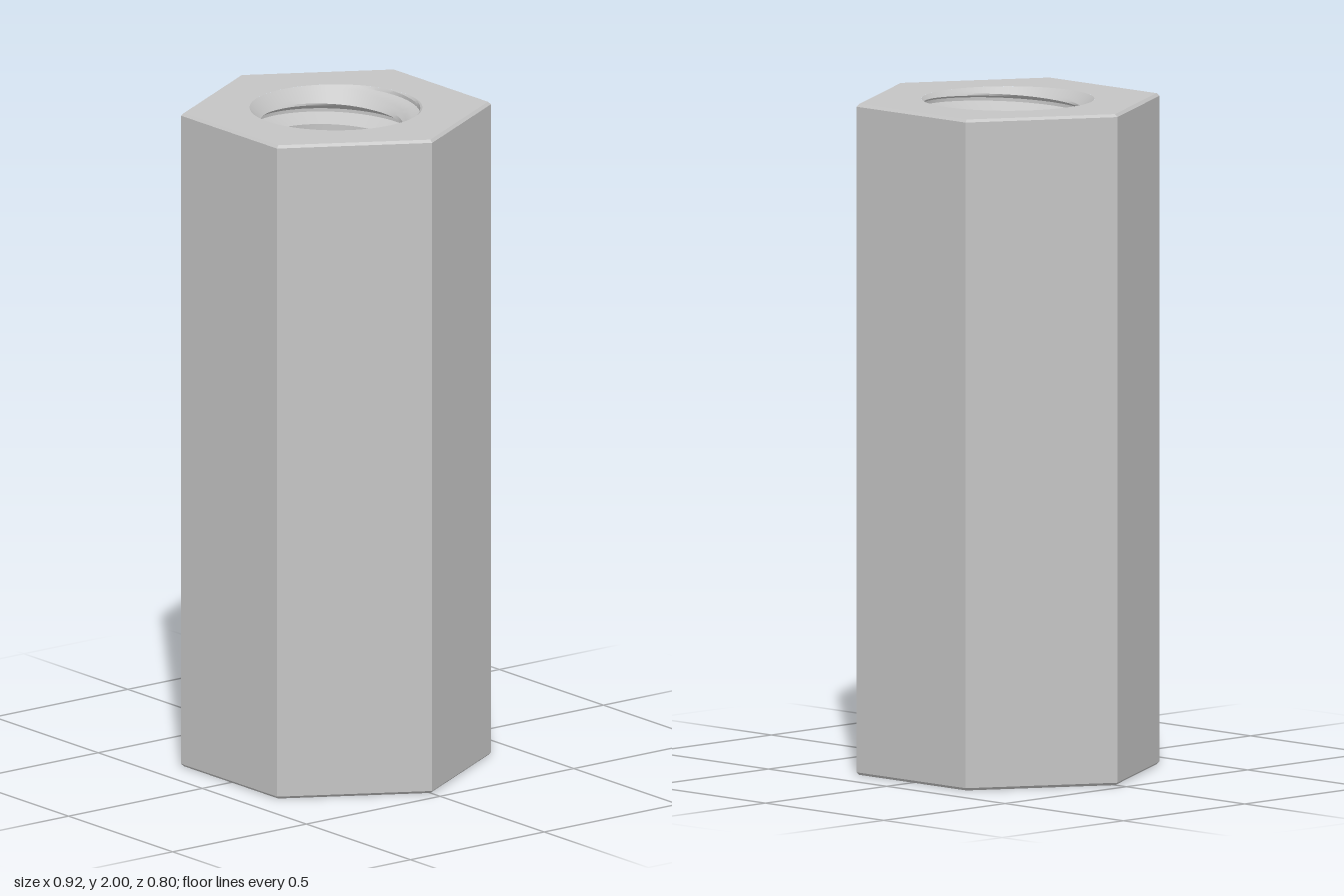
import * as THREE from 'three';
import { toCreasedNormals } from 'three/addons/utils/BufferGeometryUtils.js';

const HEIGHT = 2;
const APOTHEM = 0.4;
const CHAMFER = 0.008;
const MOUTH = 0.255; // countersink radius at each end
const MINOR = 0.2, MAJOR = 0.25, PITCH = 0.08; // internal thread
const GROOVE_START = 0.0506;
const SEGMENTS = 72;

// One pitch of the thread, centred on a groove: [height, radius]
const PROFILE = [
  [-0.03, MINOR], [-0.0238, 0.2125], [-0.0175, 0.225], [-0.0113, 0.2375], [-0.005, MAJOR],
  [0.005, MAJOR], [0.0113, 0.2375], [0.0175, 0.225], [0.0238, 0.2125], [0.03, MINOR],
  [0.04, MINOR],
];

const hexCorner = (apothem) => apothem / Math.cos(Math.PI / 6);

// Right-handed helical bore wall, opened into a 45 degree countersink at both ends
function threadedBore() {
  const rows = [];
  const turns = Math.ceil(HEIGHT / PITCH) + 2;
  for (let t = -2; t < turns; t++) {
    for (const [h, r] of PROFILE) rows.push([GROOVE_START + t * PITCH + h, r]);
  }
  const positions = [], indices = [], heights = [];
  for (const [h, r] of rows) {
    for (let i = 0; i <= SEGMENTS; i++) {
      const turn = i / SEGMENTS, angle = turn * Math.PI * 2;
      const y = THREE.MathUtils.clamp(h + turn * PITCH, 0, HEIGHT);
      const radius = Math.max(r, MOUTH - Math.min(y, HEIGHT - y));
      positions.push(radius * Math.cos(angle), y, -radius * Math.sin(angle));
      heights.push(y);
    }
  }
  // Skip the triangles flattened against either end
  const addFace = (a, b, c) => {
    const ys = [heights[a], heights[b], heights[c]];
    if (Math.max(...ys) > 0 && Math.min(...ys) < HEIGHT) indices.push(a, b, c);
  };
  const stride = SEGMENTS + 1;
  for (let k = 0; k < rows.length - 1; k++) {
    for (let i = 0; i < SEGMENTS; i++) {
      const a = k * stride + i, b = a + 1, d = a + stride, c = d + 1;
      addFace(a, d, b);
      addFace(b, d, c);
    }
  }
  const geometry = new THREE.BufferGeometry();
  geometry.setAttribute('position', new THREE.Float32BufferAttribute(positions, 3));
  geometry.setIndex(indices);
  return toCreasedNormals(geometry, 0.45);
}

// Flat hexagonal end with a round opening
function endFaceGeometry() {
  const corner = hexCorner(APOTHEM - CHAMFER);
  const shape = new THREE.Shape();
  for (let i = 0; i < 6; i++) {
    const a = (i * Math.PI) / 3;
    if (i === 0) shape.moveTo(corner, 0);
    else shape.lineTo(corner * Math.cos(a), corner * Math.sin(a));
  }
  shape.closePath();
  const hole = new THREE.Path();
  hole.absarc(0, 0, MOUTH, 0, Math.PI * 2, true);
  shape.holes.push(hole);
  return new THREE.ShapeGeometry(shape, SEGMENTS);
}

export function createModel() {
  const group = new THREE.Group();
  group.name = 'hexStandoff';
  const steel = new THREE.MeshStandardMaterial({ color: 0xc4c4c4 });
  steel.name = 'steel';

  const add = (name, geometry) => {
    const mesh = new THREE.Mesh(geometry, steel);
    mesh.name = name;
    group.add(mesh);
    return mesh;
  };

  // Six flat sides with a fine chamfer along both ends
  const outer = hexCorner(APOTHEM), inner = hexCorner(APOTHEM - CHAMFER);
  const outline = [
    [inner, 0], [outer, CHAMFER], [outer, HEIGHT - CHAMFER], [inner, HEIGHT],
  ].map(([x, y]) => new THREE.Vector2(x, y));
  const sides = new THREE.LatheGeometry(outline, 6, Math.PI / 2).toNonIndexed();
  sides.computeVertexNormals();
  add('hexSides', sides);

  // End faces
  const face = endFaceGeometry();
  const top = add('topFace', face);
  top.rotation.x = -Math.PI / 2;
  top.position.y = HEIGHT;
  add('bottomFace', face).rotation.x = Math.PI / 2;

  // Through hole
  add('threadedBore', threadedBore());
  return group;
}
